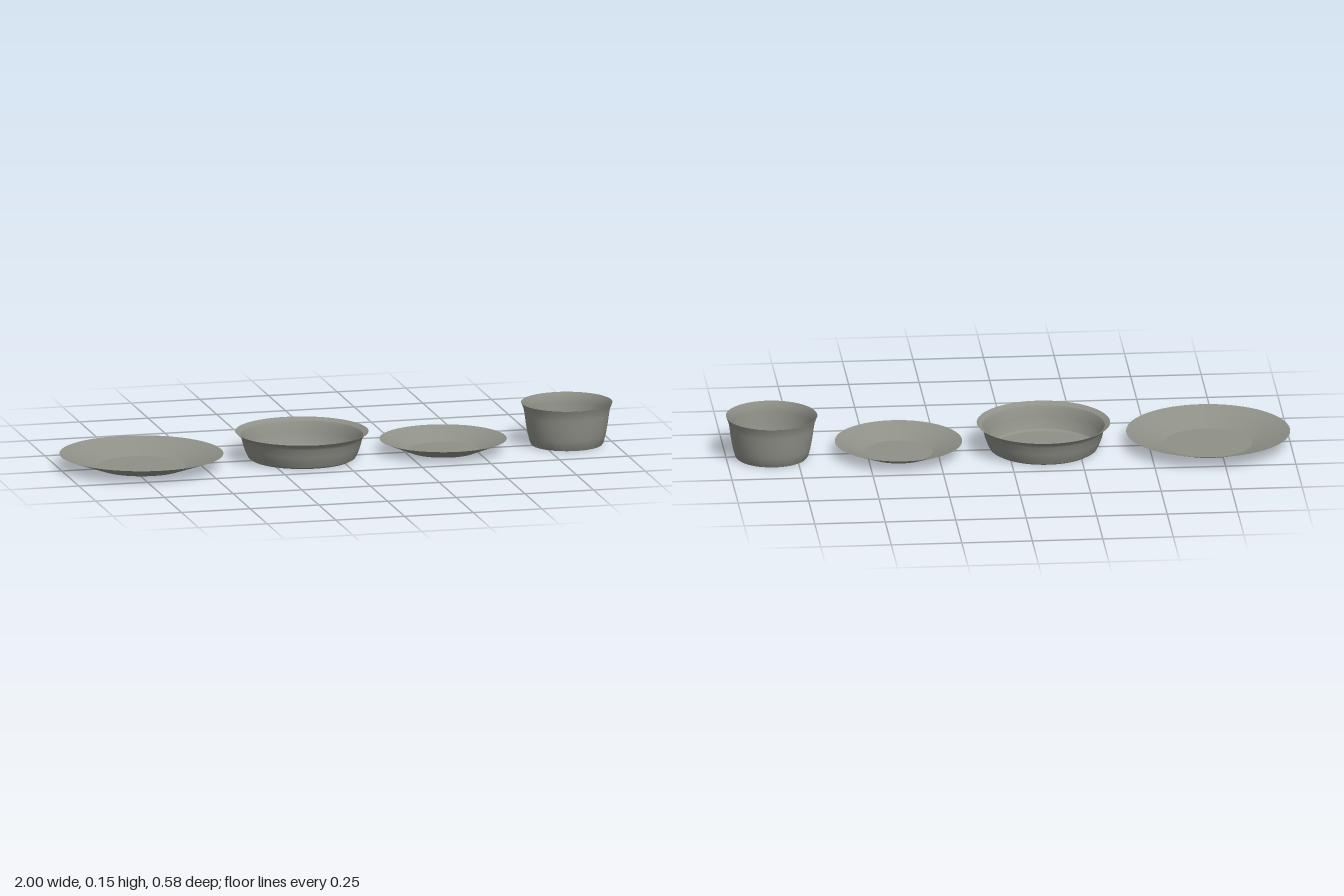
import * as THREE from 'three';
import { toCreasedNormals } from 'three/addons/utils/BufferGeometryUtils.js';

const WALL = 0.003;

// Thin-walled dish: the outer profile goes up, an inset copy comes back down
function makeDish(name, x, outer, crease, inset, material) {
  const up = [[0, 0], ...outer];
  const down = outer.map(([r, y], i) => {
    const rim = i === outer.length - 1;
    return [r - (rim ? inset * 0.5 : inset), rim ? y : y + WALL];
  }).reverse();
  const points = [...up, ...down, [0, WALL]].map(([r, y]) => new THREE.Vector2(r, y));
  const geometry = toCreasedNormals(new THREE.LatheGeometry(points, 72), crease);
  const dish = new THREE.Mesh(geometry, material);
  dish.name = name;
  dish.position.x = x;
  return dish;
}

export function createModel() {
  const group = new THREE.Group();
  group.name = 'dinnerware';
  const stoneware = new THREE.MeshStandardMaterial({ color: 0x8f9188 });
  stoneware.name = 'grey stoneware';

  // Flat plates with a sloping rim
  group.add(makeDish('dinnerPlate', -0.71, [[0.157, 0], [0.29, 0.048]], 0.3, 0.001, stoneware));
  group.add(makeDish('sidePlate', 0.388, [[0.122, 0], [0.225, 0.043]], 0.3, 0.001, stoneware));

  // Wide shallow bowl with a flared lip
  group.add(makeDish('shallowBowl', -0.126, [
    [0.18, 0], [0.19, 0.006], [0.199, 0.024], [0.207, 0.046],
    [0.214, 0.074], [0.22, 0.084], [0.236, 0.097],
  ], 0.5, WALL, stoneware));

  // Deep small bowl with a slight lip
  group.add(makeDish('deepBowl', 0.838, [
    [0.126, 0], [0.13, 0.006], [0.138, 0.036], [0.145, 0.075],
    [0.15, 0.112], [0.153, 0.13], [0.162, 0.151],
  ], 0.5, WALL, stoneware));

  return group;
}
